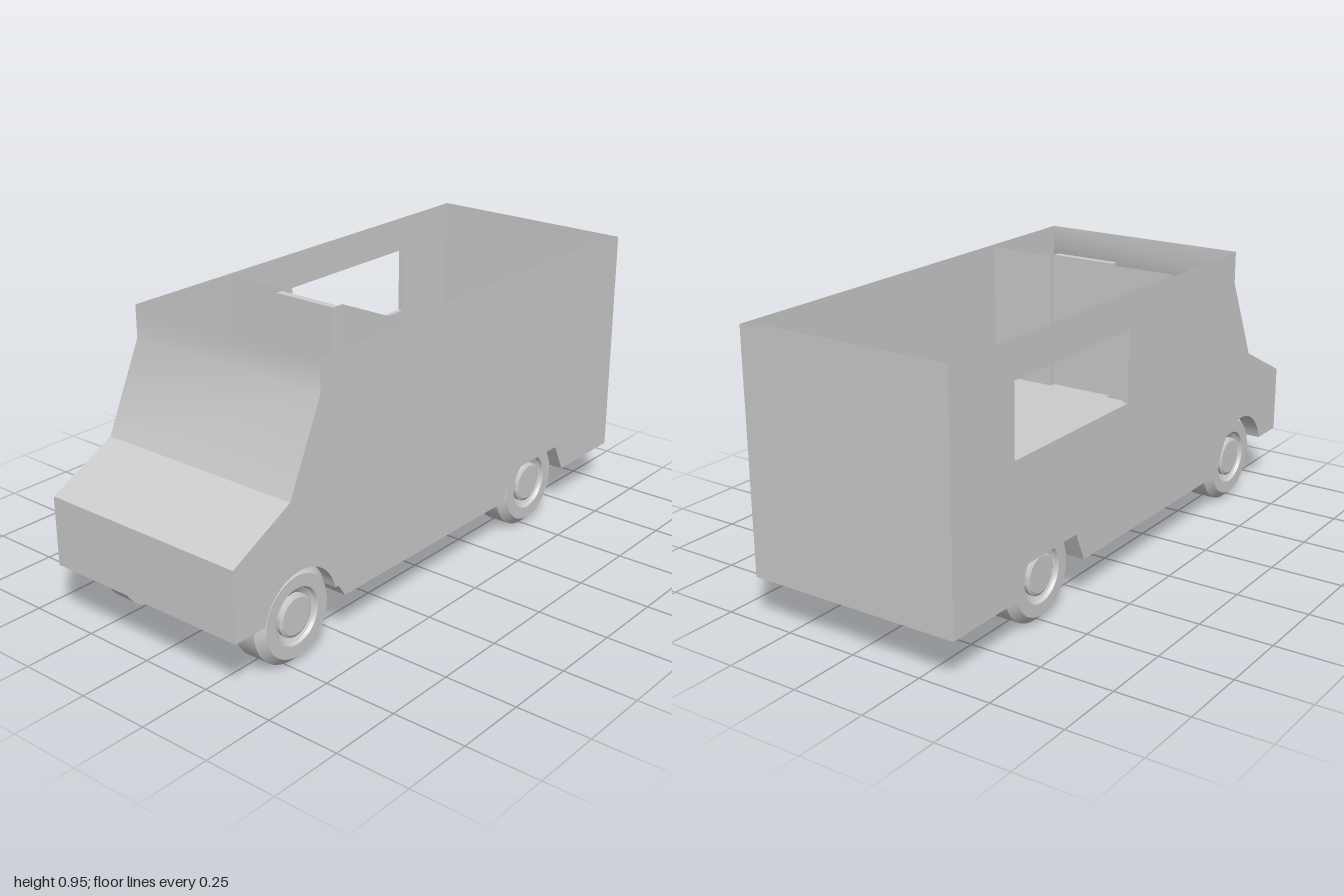
import * as THREE from 'three';
import { toCreasedNormals } from 'three/addons/utils/BufferGeometryUtils.js';

const material = new THREE.MeshStandardMaterial({ color: 0xcccccc, side: THREE.DoubleSide });
const HALF = 0.378; // half width of the body
const TOP = 0.955; // open top edge
const CREASE = 0.5;

function part(name, geometry, parent) {
  const mesh = new THREE.Mesh(geometry, material);
  mesh.name = name;
  parent.add(mesh);
  return mesh;
}

// Open sheet: a polyline in x, y drawn out from z0 to z1
function sheet(points, z0, z1) {
  const positions = [];
  for (let i = 0; i < points.length - 1; i++) {
    const [ax, ay] = points[i], [bx, by] = points[i + 1];
    positions.push(ax, ay, z0, bx, by, z0, bx, by, z1, ax, ay, z0, bx, by, z1, ax, ay, z1);
  }
  const geometry = new THREE.BufferGeometry();
  geometry.setAttribute('position', new THREE.Float32BufferAttribute(positions, 3));
  return toCreasedNormals(geometry, CREASE);
}

// Flat panel in x, y with an optional hole
function panel(points, z, hole) {
  const toVectors = (list) => list.map(([x, y]) => new THREE.Vector2(x, y));
  const shape = new THREE.Shape(toVectors(points));
  if (hole) shape.holes.push(new THREE.Path(toVectors(hole)));
  return new THREE.ShapeGeometry(shape).translate(0, 0, z);
}

const rect = (x0, y0, x1, y1) => [[x0, y0], [x1, y0], [x1, y1], [x0, y1]];

export function createModel() {
  const van = new THREE.Group();
  van.name = 'van';

  // Body outline, from the rear top edge along the underside to the front top edge
  const wheelY = 0.162, wheelR = 0.16, frontX = -0.72, rearX = 0.51;
  const arch = [];
  const lift = Math.asin((0.2 - wheelY) / wheelR);
  for (let i = 0; i <= 28; i++) {
    const a = lift + (Math.PI - 2 * lift) * i / 28;
    arch.push([frontX + wheelR * Math.cos(a), wheelY + wheelR * Math.sin(a)]);
  }
  const outline = [
    [1, TOP], [1, 0.155],
    [0.7, 0.155], [0.65, 0.255], [0.375, 0.255], [0.33, 0.155],
    [-0.52, 0.155], [-0.55, 0.2], ...arch, [-1, 0.2],
    [-1, 0.435], [-0.76, 0.555], [-0.625, 0.845], [-0.625, TOP],
  ];
  const windowHole = rect(0.08, 0.6, 0.7, 0.84);

  const body = new THREE.Group();
  body.name = 'body';
  van.add(body);
  part('outerSkin', sheet(outline, -HALF, HALF), body);
  part('leftSide', panel(outline, HALF), body);
  part('windowSide', panel(outline, -HALF, windowHole), body);

  // Cargo compartment, a separate open box inside the body
  const cargo = new THREE.Group();
  cargo.name = 'cargoCompartment';
  van.add(cargo);
  const floorY = 0.49, front = -0.215, rear = 0.97, zBack = -0.36, zFront = 0.352;
  const doorZ0 = -0.12, doorZ1 = 0.115, recess = -0.235;

  // Plan of the walls as x, -z, with the doorway recess in the partition
  const walls = [
    [front, -zBack], [front, -doorZ0], [recess, -doorZ0], [recess, -doorZ1],
    [front, -doorZ1], [front, -zFront], [rear, -zFront], [rear, -zBack],
  ];
  part('cargoWalls', sheet(walls, floorY, TOP).rotateX(-Math.PI / 2), cargo);
  part('cargoFloor', panel(walls, floorY).rotateX(-Math.PI / 2), cargo);
  part('cargoWindowWall', panel(rect(front, floorY, rear, TOP), zBack, windowHole), cargo);
  part('windowFrame', sheet([...windowHole, windowHole[0]], -HALF, zBack), cargo);

  // Door panel standing out from the partition into the cab
  const door = new THREE.BoxGeometry(0.025, TOP - floorY, doorZ1 - doorZ0);
  part('partitionDoor', door, cargo)
    .position.set(recess - 0.0125, (TOP + floorY) / 2, (doorZ0 + doorZ1) / 2);

  // Wheels: flat inner face, chamfered tyre, dished rim and raised hub
  const profile = [
    [0, 0], [wheelR, 0], [wheelR, 0.08], [0.135, 0.106], [0.094, 0.106],
    [0.088, 0.096], [0.07, 0.086], [0.07, 0.098], [0.06, 0.104], [0, 0.104],
  ].map(([r, y]) => new THREE.Vector2(r, y));
  const wheelGeometry = toCreasedNormals(
    new THREE.LatheGeometry(profile, 48).rotateX(Math.PI / 2), CREASE);
  for (const [end, x] of [['front', frontX], ['rear', rearX]]) {
    part(end + 'LeftWheel', wheelGeometry, van).position.set(x, wheelY, 0.255);
    const opposite = part(end + 'RightWheel', wheelGeometry, van);
    opposite.position.set(x, wheelY, -0.235);
    opposite.rotation.y = Math.PI;
  }
  return van;
}
